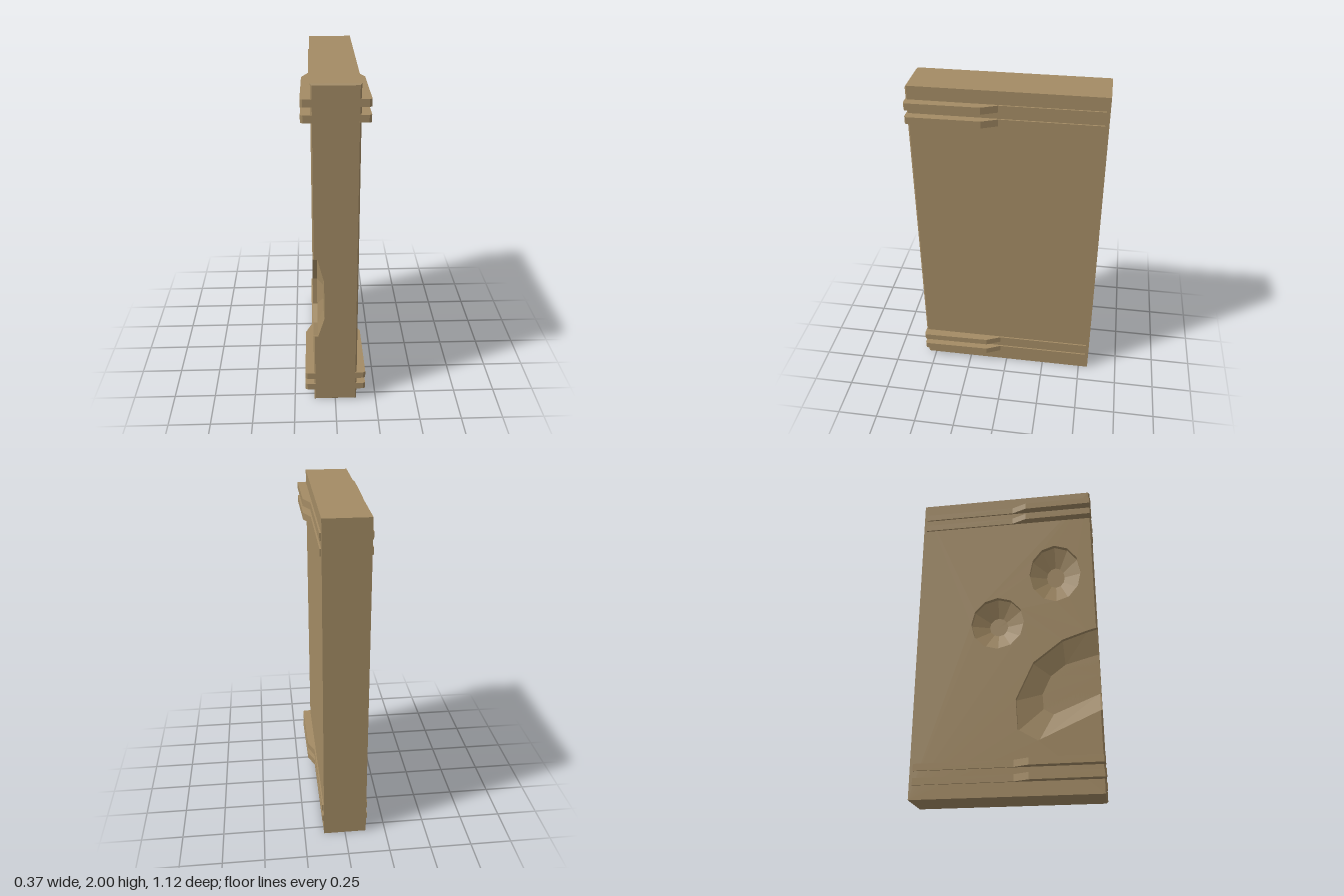
import * as THREE from 'three';

const W = 0.13;      // half thickness of the case
const FLOOR = 0.065; // x distance of recess floors
const RIM = 0.102;   // x distance where straight recess walls end
const BACK = -0.56, FRONT = 0.546;

const tan = new THREE.MeshStandardMaterial({ color: 0xa38b64, side: THREE.DoubleSide, flatShading: true });
tan.name = 'tan';

function add(group, name, geometry) {
  const mesh = new THREE.Mesh(geometry, tan);
  mesh.name = name;
  group.add(mesh);
  return mesh;
}

// Outline of a 12-sided oval in (z, y)
function oval(cz, cy, rz, ry) {
  return Array.from({ length: 12 }, (_, i) => {
    const a = (i / 12) * Math.PI * 2;
    return new THREE.Vector2(cz + rz * Math.cos(a), cy + ry * Math.sin(a));
  });
}

// Sloping dish on the -x side: rim ring, inner ring, then a fan to the centre
function dish(rim, inner, centre, closed) {
  const pos = [];
  const put = (p, x) => pos.push(-x, p.y, p.x);
  const n = rim.length;
  for (let i = 0; i < (closed ? n : n - 1); i++) {
    const j = (i + 1) % n;
    put(rim[i], RIM); put(rim[j], RIM); put(inner[j], FLOOR);
    put(rim[i], RIM); put(inner[j], FLOOR); put(inner[i], FLOOR);
    put(inner[i], FLOOR); put(inner[j], FLOOR); put(centre, FLOOR);
  }
  const g = new THREE.BufferGeometry();
  g.setAttribute('position', new THREE.Float32BufferAttribute(pos, 3));
  g.computeVertexNormals();
  return g;
}

export function createModel() {
  const model = new THREE.Group();
  model.name = 'case';
  const v = (x, y) => new THREE.Vector2(x, y);

  // Solid part of the case behind the recesses
  const core = add(model, 'caseBody', new THREE.BoxGeometry(W + FLOOR, 2, FRONT - BACK));
  core.position.set((W - FLOOR) / 2, 1, (FRONT + BACK) / 2);

  // Recessed side panel with thumb notch and two oval holes
  const notch = [v(FRONT, 1), v(0.49, 0.985), v(0.342, 0.935), v(0.162, 0.797),
    v(0.056, 0.57), v(0.066, 0.385), v(0.183, 0.314), v(FRONT, 0.477)];
  const holes = [[-0.056, 1.077, 0.165, 0.175], [0.31, 1.403, 0.162, 0.203]];
  const panel = new THREE.Shape([v(BACK, 0), v(FRONT, 0), ...[...notch].reverse(), v(FRONT, 2), v(BACK, 2)]);
  holes.forEach((h) => panel.holes.push(new THREE.Path(oval(...h))));
  const panelGeo = new THREE.ExtrudeGeometry(panel, { depth: W - FLOOR, bevelEnabled: false });
  panelGeo.rotateY(-Math.PI / 2).translate(-FLOOR, 0, 0);
  add(model, 'sidePanel', panelGeo);

  // Dishes inside the oval holes
  holes.forEach(([z, y, rz, ry]) => {
    add(model, 'holeDish', dish(oval(z, y, rz, ry), oval(z, y, rz * 0.35, ry * 0.35), v(z, y), true));
  });

  // Dish of the thumb notch, open to the front
  const middle = v(0.36, 0.66);
  const inner = notch.map((p) => p.clone().lerp(middle, 0.5));
  inner[0].set(FRONT, 0.85);
  inner[1].set(0.47, 0.83);
  inner[notch.length - 1].set(FRONT, 0.6);
  add(model, 'notchDish', dish(notch, inner, v(FRONT, 0.72), false));

  // Front cap with a small chamfer and the notch profile
  const cap = new THREE.Shape([v(-W, 0), v(W, 0), v(W, 2), v(-W, 2), v(-W, 1), v(-RIM, 1),
    v(-FLOOR, 0.85), v(-FLOOR, 0.6), v(-RIM, 0.477), v(-W, 0.477)]);
  const capGeo = new THREE.ExtrudeGeometry(cap, { depth: 0.009, bevelEnabled: false });
  const p = capGeo.attributes.position;
  for (let i = 0; i < p.count; i++) {
    if (p.getZ(i) < 0.001) continue;
    p.setX(i, THREE.MathUtils.clamp(p.getX(i), -W + 0.008, W - 0.008));
    p.setY(i, THREE.MathUtils.clamp(p.getY(i), 0.009, 1.991));
  }
  capGeo.computeVertexNormals();
  capGeo.translate(0, 0, FRONT);
  add(model, 'frontCap', capGeo);

  // Paired grip rails on both sides, widening toward the front
  const rail = new THREE.Shape([v(0.12, 0.54), v(0.139, 0.54), v(0.139, -0.042), v(0.178, -0.132),
    v(0.183, -0.55), v(0.17, -0.558), v(0.12, -0.558)]);
  for (const y of [0.082, 0.164, 1.798, 1.88]) {
    for (const side of [0, 1]) {
      const g = new THREE.ExtrudeGeometry(rail, { depth: 0.041, bevelEnabled: false });
      g.rotateX(-Math.PI / 2);
      const mesh = add(model, side ? 'rightRail' : 'leftRail', g);
      mesh.position.y = y;
      if (side) mesh.scale.x = -1;
    }
  }
  return model;
}
